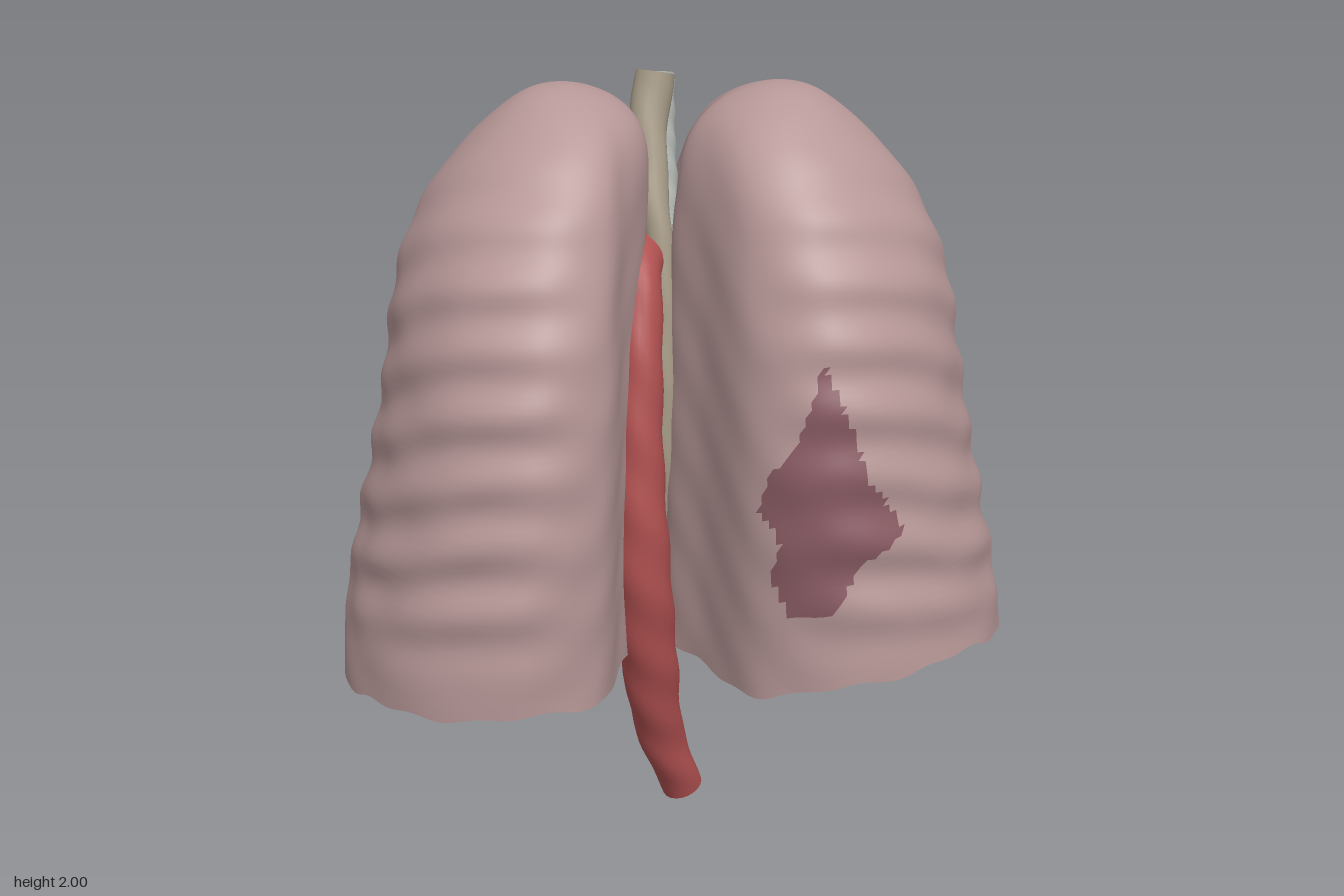
import * as THREE from 'three';

const V = (x, y, z) => new THREE.Vector3(x, y, z);
const TOP = 1.975;
const SEG = 180;

// Triangles between closed rings of equal length; "pick" sends a triangle to the second index list
function loft(rings, flip = false, pick = () => false) {
  const n = rings[0].length;
  const verts = rings.flat();
  const main = [], picked = [];
  const add = (a, b, c) => {
    const mid = verts[a].clone().add(verts[b]).add(verts[c]).divideScalar(3);
    (pick(mid) ? picked : main).push(a, flip ? c : b, flip ? b : c);
  };
  for (let r = 0; r < rings.length - 1; r++) {
    for (let i = 0; i < n; i++) {
      const a = r * n + i, b = r * n + (i + 1) % n;
      add(a, b, a + n);
      add(b, b + n, a + n);
    }
  }
  const geo = new THREE.BufferGeometry().setFromPoints(verts);
  geo.setIndex(main.concat(picked));
  geo.computeVertexNormals();
  geo.setIndex(main);
  if (!picked.length) return [geo];
  const second = new THREE.BufferGeometry();
  second.setAttribute('position', geo.attributes.position);
  second.setAttribute('normal', geo.attributes.normal);
  second.setIndex(picked);
  return [geo, second];
}

function part(name, geo, color) {
  const mesh = new THREE.Mesh(geo, new THREE.MeshStandardMaterial({ color }));
  mesh.name = name;
  return mesh;
}

// Capped tube along points [x, y, z, radius]
function vessel(name, pts, color, steps = 48, sides = 18) {
  const curve = new THREE.CatmullRomCurve3(pts.map(p => V(p[0], p[1], p[2])));
  const radii = new THREE.CatmullRomCurve3(pts.map((p, i) => V(i, p[3], 0)));
  const frames = curve.computeFrenetFrames(steps);
  const rings = [];
  for (let k = 0; k <= steps; k++) {
    const t = curve.getUtoTmapping(k / steps);
    const c = curve.getPoint(t), rad = radii.getPoint(t).y;
    const ring = [];
    for (let i = 0; i < sides; i++) {
      const a = i / sides * Math.PI * 2;
      const w = rad * (1 + 0.04 * Math.sin(k * 0.9 + 2 * a));
      ring.push(c.clone().addScaledVector(frames.normals[k], Math.cos(a) * w)
        .addScaledVector(frames.binormals[k], Math.sin(a) * w));
    }
    rings.push(ring);
  }
  const first = rings[0], last = rings[steps];
  const dot = p => first.map(() => p.clone());
  const all = [dot(curve.getPoint(0)), first, ...rings, last, dot(curve.getPoint(1))];
  return part(name, loft(all)[0], color);
}

// Rim of each lung as [distance outward, height, z], from the inner back edge round the outside
const rightRim = [
  [0.04, 1.08, -0.53], [0.16, 0.94, -0.57], [0.34, 0.77, -0.57], [0.6, 0.62, -0.5], [0.8, 0.48, -0.32],
  [0.88, 0.41, -0.08], [0.88, 0.42, 0.12], [0.81, 0.45, 0.34], [0.65, 0.48, 0.53], [0.4, 0.5, 0.605],
  [0.21, 0.5, 0.51], [0.15, 0.5, 0.3], [0.09, 0.52, 0.08], [0.15, 0.65, -0.1], [0.14, 0.8, -0.24], [0.05, 0.98, -0.4],
];
const leftRim = [
  [-0.02, 1.06, -0.53], [0.14, 0.84, -0.57], [0.32, 0.74, -0.555], [0.6, 0.67, -0.49], [0.79, 0.6, -0.3],
  [0.885, 0.55, -0.05], [0.88, 0.53, 0.15], [0.77, 0.57, 0.38], [0.58, 0.57, 0.53], [0.4, 0.55, 0.57],
  [0.2, 0.49, 0.48], [0.07, 0.48, 0.24], [-0.02, 0.5, 0.06], [0.07, 0.62, -0.06], [0.14, 0.75, -0.2], [-0.02, 0.98, -0.38],
];

// Dark patch on the front of the left lung
const patch = [[0.19, 1.0], [0.21, 1.09], [0.28, 1.18], [0.34, 1.38], [0.41, 1.22], [0.45, 1.1], [0.55, 0.95],
  [0.43, 0.87], [0.38, 0.76], [0.27, 0.72], [0.22, 0.82], [0.24, 0.92]];
function inPatch(p) {
  if (p.z < 0.2) return false;
  let inside = false;
  patch.forEach(([x1, y1], i) => {
    const [x2, y2] = patch[(i + 1) % patch.length];
    if ((y1 > p.y) !== (y2 > p.y) && p.x < (x2 - x1) * (p.y - y1) / (y2 - y1) + x1) inside = !inside;
  });
  return inside;
}

// Pull a rim point in to the lung's width at height y, with rib ridges on the outer side
function lungPoint(rim, y, side) {
  const u = THREE.MathUtils.clamp((y - 0.8) / (TOP - 0.8), 0, 1);
  const taper = 1 - 0.17 * THREE.MathUtils.smoothstep(y, 0.4, 1.4);
  const sx = Math.sqrt(1 - u ** 4.5) * taper, sz = Math.sqrt(1 - u ** 2.5);
  const anchor = 0.05 + 0.22 * u ** 12;
  // The outline rounds off to an oval towards the top
  const angle = Math.atan2(rim.z, rim.x - 0.43), round = u ** 4;
  const rx = THREE.MathUtils.lerp(rim.x, 0.43 + 0.43 * Math.cos(angle), round);
  const rz = THREE.MathUtils.lerp(rim.z, 0.57 * Math.sin(angle), round);
  const x = anchor + (rx - anchor) * sx;
  let z = rz * sz;
  // Small lobe low on the back of the left lung
  if (side > 0 && z < -0.3) z -= 0.04 * Math.exp(-(((x - 0.15) / 0.08) ** 2) - ((y - 0.84) / 0.09) ** 2);
  const mask = THREE.MathUtils.smoothstep(rim.x, 0.15, 0.6) * THREE.MathUtils.smoothstep(y, 0.5, 0.85) * (1 - u ** 6);
  const slant = y - 0.38 * z + 0.012 * Math.sin(9 * z + 5 * y);
  const ribs = 0.018 * mask * Math.sin(slant * Math.PI * 2 / 0.168);
  const rough = 0.006 * Math.sin(23 * z + 9 * y + side) * Math.sin(19 * y + 13 * x);
  const k = 1 + ribs + rough * (1 - u ** 8);
  return V(side * (0.4 + (x - 0.4) * k), y, z * k);
}

function lung(name, rimPoints, side) {
  const group = new THREE.Group();
  group.name = name;
  const curve = new THREE.CatmullRomCurve3(rimPoints.map(p => V(...p)), true);
  const rim = curve.getSpacedPoints(SEG).slice(0, SEG);
  // Wavy lower edge
  rim.forEach((p, i) => { p.y += 0.01 * Math.sin(i * 0.5) * Math.sin(i * 0.21); });
  const rows = 100, rings = [];
  for (let k = 0; k <= rows; k++) {
    const t = Math.sin(k / rows * Math.PI / 2);
    rings.push(rim.map(p => lungPoint(p, p.y + (TOP - p.y) * t, side)));
  }
  const [shell, dark] = loft(rings, side > 0, side > 0 ? inPatch : undefined);
  group.add(part('lungSurface', shell, 0xb89898));
  if (dark) group.add(part('darkPatch', dark, 0x8a5c64));

  // Hollow underside rising to a rounded dome
  const under = [], steps = 16, centre = V(side * 0.42, 0.8, -0.02);
  for (let k = 0; k <= steps; k++) {
    const f = k / steps, lift = Math.sqrt(1 - (1 - f) ** 2);
    under.push(rings[0].map(p => {
      const q = p.clone().lerp(centre, f);
      q.y = p.y + (centre.y - p.y) * lift + 0.02 * Math.sin(q.z * 40) * (1 - f) * f;
      return q;
    }));
  }
  group.add(part('lungUnderside', loft(under, side < 0)[0], 0x9a7c7c));
  return group;
}

// Lumpy egg with its point toward the right, low and at the back
function heart() {
  const geo = new THREE.SphereGeometry(1, 48, 32);
  const p = geo.attributes.position;
  for (let i = 0; i < p.count; i++) {
    const x = p.getX(i), y = p.getY(i), z = p.getZ(i);
    const fat = 0.92 + 0.12 * x;
    const lump = 1 + 0.05 * Math.sin(4 * x + 3 * y) * Math.cos(3 * z) + 0.04 * Math.sin(6 * y + 2 * z);
    p.setXYZ(i, 0.33 * x * lump, 0.26 * y * fat * lump, 0.23 * z * fat * lump);
  }
  geo.computeVertexNormals();
  const mesh = part('heart', geo, 0xb05a50);
  mesh.position.set(-0.07, 0.86, -0.32);
  mesh.rotation.set(0, -0.1, 0.2);
  return mesh;
}

export function createModel() {
  const model = new THREE.Group();
  model.name = 'lungsAndHeart';
  model.add(lung('rightLung', rightRim, -1), lung('leftLung', leftRim, 1), heart());

  // Main artery: up from the heart, over the arch and down the front
  model.add(vessel('aorta', [
    [0, 0.98, -0.27, 0.13], [0.01, 1.2, -0.24, 0.125], [-0.01, 1.4, -0.18, 0.1], [-0.065, 1.52, -0.05, 0.075],
    [-0.085, 1.52, 0.08, 0.06], [-0.088, 1.35, 0.17, 0.058], [-0.095, 1.05, 0.22, 0.064], [-0.085, 0.75, 0.225, 0.072],
    [-0.065, 0.45, 0.16, 0.074], [-0.035, 0.22, 0.09, 0.064], [0.03, 0.015, 0.025, 0.054],
  ], 0xb05050, 80, 20));

  // Food pipe, ending in a small bulb
  model.add(vessel('foodPipe', [
    [-0.035, 1.985, -0.09, 0.05], [-0.055, 1.85, -0.06, 0.05], [-0.045, 1.68, 0, 0.04], [-0.025, 1.5, 0.04, 0.035],
    [-0.02, 1.1, 0.07, 0.034], [-0.02, 0.85, 0.04, 0.035], [0, 0.7, -0.04, 0.058], [0.02, 0.61, -0.1, 0.035],
  ], 0xa89c88));

  // Windpipe with a branch to each lung
  const grey = 0xb0b6b2;
  model.add(vessel('windpipe', [
    [-0.03, 1.965, -0.19, 0.05], [-0.03, 1.8, -0.14, 0.05], [-0.02, 1.6, -0.07, 0.048], [-0.01, 1.42, -0.04, 0.05],
  ], grey));
  for (const side of [-1, 1]) {
    model.add(vessel(side > 0 ? 'leftBronchus' : 'rightBronchus', [
      [-0.01, 1.46, -0.04, 0.04], [side * 0.07, 1.36, -0.06, 0.04], [side * 0.22, 1.26, -0.1, 0.035],
    ], grey, 16));
  }
  return model;
}
